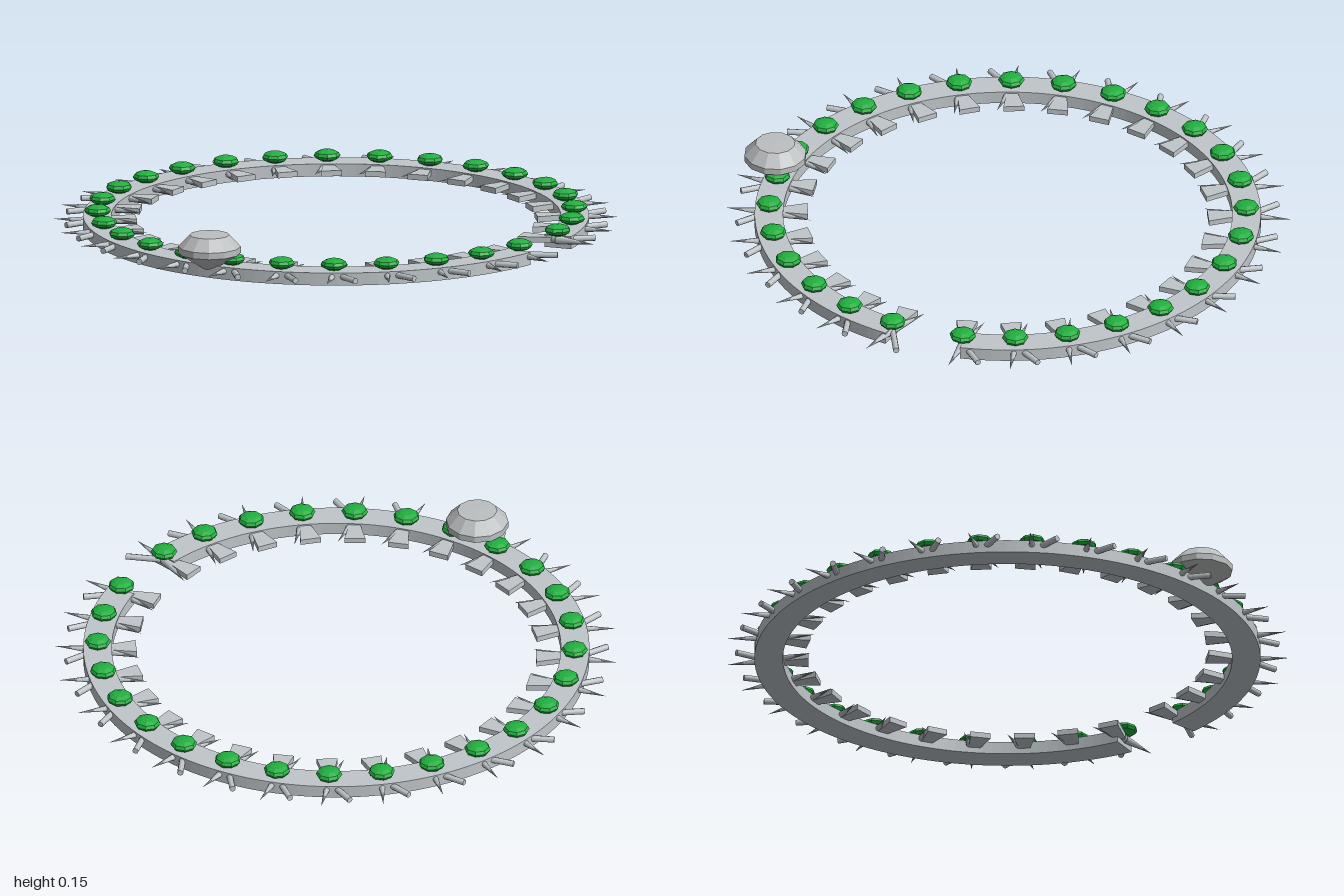
import * as THREE from 'three';

const RING = 0.837; // radius of the row of beads
const END = Math.PI * 0.05; // half of the opening on the +x side
const COUNT = 28;

export function createModel() {
  const model = new THREE.Group();
  model.name = 'openBracelet';
  const mat = (name, color, flatShading = false) => {
    const m = new THREE.MeshStandardMaterial({ color, flatShading });
    m.name = name;
    return m;
  };
  const silver = mat('silver', 0xc0c6ca);
  const crystal = mat('crystal', 0xbcbfc0, true);
  const green = mat('green', 0x22b040, true);
  const add = (parent, name, geometry, material, x = 0, y = 0, z = 0) => {
    const mesh = new THREE.Mesh(geometry, material);
    mesh.name = name;
    mesh.position.set(x, y, z);
    parent.add(mesh);
    return mesh;
  };

  const ring = new THREE.Group();
  ring.name = 'ring';
  ring.position.z = -0.005;
  model.add(ring);

  // Flat open band
  const arc = new THREE.Shape();
  arc.absarc(0, 0, 0.888, END, Math.PI * 2 - END, false);
  arc.absarc(0, 0, 0.788, Math.PI * 2 - END, END, true);
  arc.closePath();
  const band = new THREE.ExtrudeGeometry(arc, { depth: 0.045, bevelEnabled: false, curveSegments: 72 });
  band.rotateX(-Math.PI / 2);
  add(ring, 'band', band, silver);

  // Shared parts, all pointing along +x from the bead centre
  const bead = new THREE.SphereGeometry(0.047, 8, 6).scale(1, 0.45, 1);
  const thorn = new THREE.ConeGeometry(0.016, 0.155, 8).rotateZ(-Math.PI / 2).translate(0.0775, 0, 0);
  const pin = new THREE.CylinderGeometry(0.011, 0.011, 0.135, 8).rotateZ(-Math.PI / 2).translate(0.0675, 0, 0);
  const outline = new THREE.Shape([[0.02, -0.014], [0.135, -0.037], [0.135, 0.037], [0.02, 0.014]]
    .map(([x, y]) => new THREE.Vector2(x, y)));
  const leaf = new THREE.ExtrudeGeometry(outline, { depth: 0.02, bevelEnabled: false });
  leaf.rotateX(-Math.PI / 2).translate(0, -0.01, 0);

  // Bead stations: bead, outward thorn and pin, inward leaf and thorn
  for (let i = 0; i < COUNT; i++) {
    const station = new THREE.Group();
    station.name = 'beadStation';
    const a = END + (i / (COUNT - 1)) * (Math.PI * 2 - 2 * END);
    station.position.set(RING * Math.cos(a), 0, -RING * Math.sin(a));
    station.rotation.y = a;
    ring.add(station);
    add(station, 'greenBead', bead, green, 0, 0.065);
    add(station, 'outerThorn', thorn, silver, 0, 0.03).rotation.y = -0.15;
    add(station, 'outerPin', pin, silver, 0, 0.03).rotation.y = 0.6;
    add(station, 'innerLeaf', leaf, silver, 0, 0.03).rotation.y = Math.PI + 0.08;
    add(station, 'innerThorn', thorn, silver, 0, 0.03).rotation.y = Math.PI - 0.32;
  }

  // Large cut stone at the front
  const profile = [[0, 0.015], [0.11, 0.085], [0.11, 0.108], [0.07, 0.15], [0, 0.152]]
    .map(([x, y]) => new THREE.Vector2(x, y));
  add(model, 'frontStone', new THREE.LatheGeometry(profile, 12), crystal, 0, 0, 0.862);
  return model;
}
